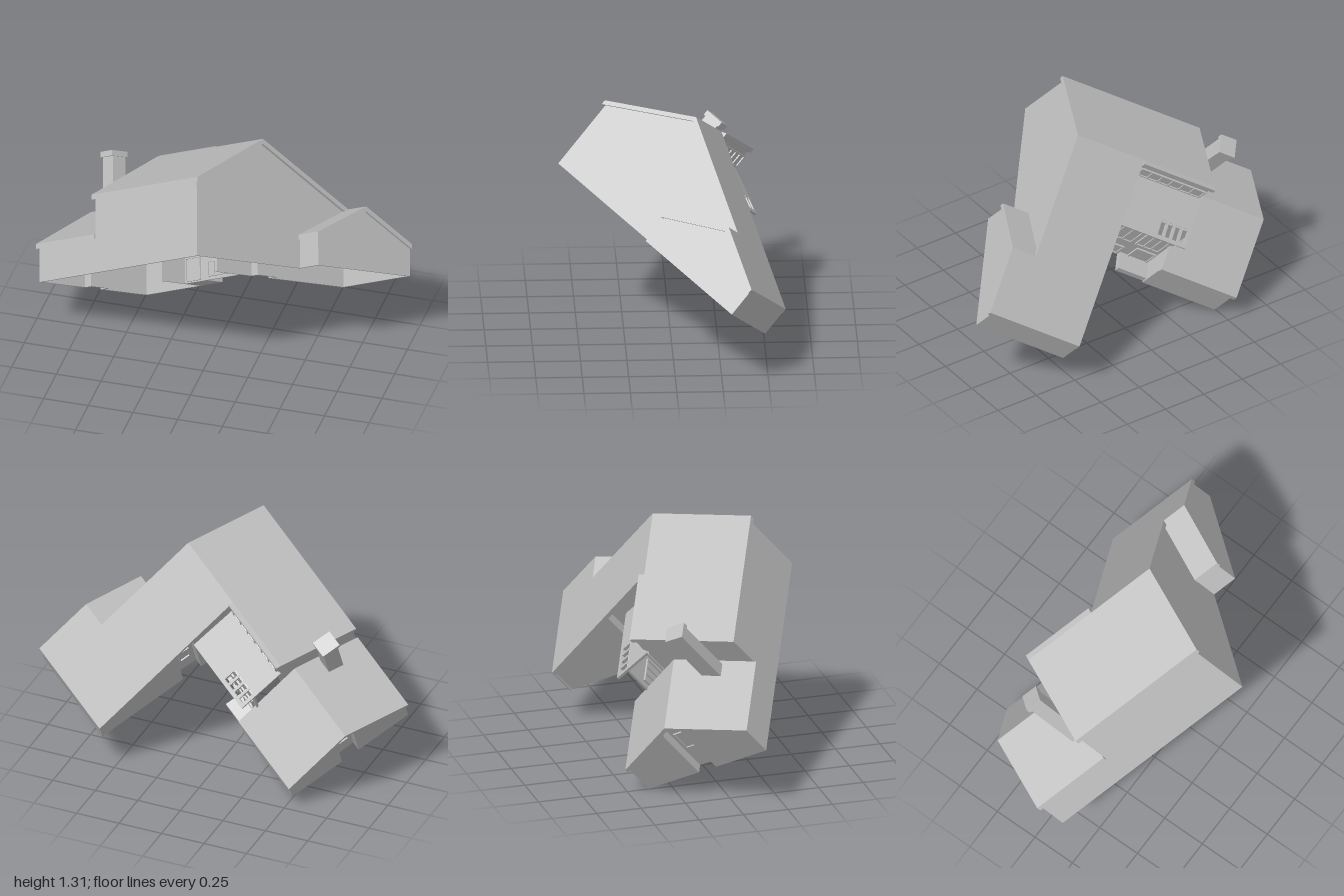
import * as THREE from 'three';

const T = 0.012;      // wall thickness
const G = 0.338;      // ground level in house space

export function createModel() {
  const model = new THREE.Group();
  model.name = 'tiltedHouse';
  const grey = new THREE.MeshStandardMaterial({ color: 0xbcbcbc });
  grey.name = 'plain grey';
  const house = new THREE.Group();
  house.name = 'house';
  model.add(house);

  const add = (name, geometry, parent = house) => {
    const mesh = new THREE.Mesh(geometry, grey);
    mesh.name = name;
    parent.add(mesh);
    return mesh;
  };
  const outline = pts => new THREE.Shape(pts.map(p => new THREE.Vector2(p[0], p[1])));
  // cross-section given as [z, y], extruded along x
  const prism = (name, pts, x0, x1) => {
    const g = new THREE.ExtrudeGeometry(outline(pts.map(([z, y]) => [-z, y])),
      { depth: x1 - x0, bevelEnabled: false });
    g.rotateY(Math.PI / 2);
    g.translate(x0, 0, 0);
    return add(name, g);
  };
  // outline given as [x, y], extruded along z
  const panel = (name, pts, z) => {
    const g = new THREE.ExtrudeGeometry(outline(pts), { depth: T, bevelEnabled: false });
    g.translate(0, 0, z);
    return add(name, g);
  };
  const box = (name, x0, x1, y0, y1, z0, z1, parent = house) => {
    const g = new THREE.BoxGeometry(x1 - x0, y1 - y0, z1 - z0);
    g.translate((x0 + x1) / 2, (y0 + y1) / 2, (z0 + z1) / 2);
    return add(name, g, parent);
  };
  // sloping roof slab between two [z, y] points on its upper face
  const slab = (name, a, b, x0, x1, t = 0.027) =>
    prism(name, [a, b, [b[0], b[1] - t], [a[0], a[1] - t]], x0, x1);
  // framed window with upright bars, showing on both sides of a wall
  const makeWindow = (name, w, h, panes) => {
    const g = new THREE.Group();
    g.name = name;
    const d = 0.016, f = 0.007;
    box('glass', 0, w, 0, h, -0.009, 0.009, g);
    for (let i = 0; i <= panes; i++) {
      const x = (w - f) * i / panes;
      box('upright', x, x + f, 0, h, -d, d, g);
    }
    for (const y of [0, h - f]) box('rail', 0, w, y, y + f, -d, d, g);
    house.add(g);
    return g;
  };

  // main roof
  const ridge = [0.338, 1.013], wingRidge = [-0.272, 0.686];
  slab('mainFrontRoof', [0.81, 0.762], ridge, -0.084, 0.78);
  slab('mainBackRoof', ridge, wingRidge, 0.362, 0.78);
  slab('ridgeOverhang', ridge, [0.308, 1.024], -0.084, 0.362);

  // right wing roof, running on from the main back slope
  slab('rightWingBackRoof', wingRidge, [-0.6, 0.511], 0.362, 0.925);
  slab('rightWingFrontRoof', [0.074, 0.517], wingRidge, 0.765, 0.925);

  // left wing roof
  slab('leftWingFrontRoof', [0.81, 0.545], [0.415, 0.756], -0.538, -0.065);
  slab('leftWingBackRoof', [0.415, 0.756], [0.02, 0.545], -0.538, -0.065);

  // long front wall, stepping up at the main block
  panel('frontWall', [[-0.523, G], [0.76, G], [0.76, 0.745], [-0.065, 0.745],
    [-0.065, 0.53], [-0.523, 0.53]], 0.797 - T);

  // main gables
  prism('mainRightGable', [[0.797, G], [0.797, 0.745], [0.338, 0.99], [-0.272, 0.665],
    [0.06, 0.5], [0.06, G]], 0.76 - T, 0.76);
  prism('mainLeftGable', [[0.797, 0.52], [0.797, 0.745], [0.338, 0.99], [0.32, 0.99],
    [0.32, 0.68], [0.415, 0.73]], -0.065, -0.065 + T);

  // right wing walls
  box('rightWingFrontWall', 0.76 - T, 0.91, G, 0.505, 0.06 - T, 0.06);
  box('rightWingBackWall', 0.362, 0.91, G, 0.495, -0.597, -0.597 + T);
  prism('rightWingGable', [[0.06, G], [0.06, 0.5], [-0.272, 0.665], [-0.597, 0.49],
    [-0.597, G]], 0.91 - T, 0.91);
  prism('rightWingInnerWall', [[-0.06, G], [-0.06, 0.775], [-0.597, 0.49], [-0.597, G]],
    0.368, 0.368 + T);
  prism('rightWingUpperWall', [[0.32, G], [0.32, 0.98], [0.06, 0.84], [0.06, G]],
    0.368, 0.368 + T);

  // left wing walls
  box('leftWingBackWall', -0.523, -0.08, G, 0.53, 0.03, 0.03 + T);
  prism('leftWingGableFront', [[0.797, G], [0.797, 0.525], [0.47, 0.7], [0.47, G]],
    -0.523, -0.523 + T);
  prism('leftWingGableBack', [[0.36, G], [0.36, 0.7], [0.03, 0.525], [0.03, G]],
    -0.523, -0.523 + T);
  prism('leftWingInnerWall', [[0.32, G], [0.32, 0.68], [0.03, 0.525], [0.03, G]],
    -0.08, -0.08 + T);

  // alcoves set into the side walls, each with a window
  for (const [x, z0, z1, h] of [[-0.523, 0.36, 0.47, 0.7], [0.368, -0.06, 0.06, 0.78]]) {
    const back = x + 0.05;
    box('alcoveBack', back, back + T, G, h, z0, z1);
    for (const z of [z0 - T, z1]) box('alcoveCheek', x, back + T, G, h, z, z + T);
    const w = makeWindow('alcoveWindow', 0.07, 0.13, 1);
    w.rotation.y = Math.PI / 2;
    w.position.set(back + T / 2, 0.5, (z0 + z1) / 2 + 0.035);
  }

  // recessed back wall: upper storey, then lower storey further out
  box('upperBackWall', -0.065, 0.368, 0.86, 0.995, 0.32, 0.32 + T);
  box('lowerBackWall', -0.08, 0.368, G, 0.805, 0.14, 0.14 + T);
  for (const [name, x, y, z, w, h, n] of [
    ['clerestoryWindow', -0.06, 0.89, 0.326, 0.4, 0.075, 6],
    ['wideWindow', 0.12, 0.51, 0.146, 0.23, 0.15, 4],
    ['narrowWindow', -0.05, 0.51, 0.146, 0.145, 0.15, 3],
    ['lowWindow', 0.12, 0.355, 0.146, 0.21, 0.085, 4],
    ['door', -0.06, 0.345, 0.146, 0.12, 0.13, 1],
  ]) makeWindow(name, w, h, n).position.set(x, y, z);

  // lean-to roof with four open slots
  const lean = outline([[-0.08, 0], [0.366, 0], [0.366, 0.293], [-0.08, 0.293]]);
  for (let i = 0; i < 4; i++) {
    const x = -0.06 + i * 0.045;
    lean.holes.push(new THREE.Path([[x, 0.19], [x, 0.27], [x + 0.03, 0.27], [x + 0.03, 0.19]]
      .map(p => new THREE.Vector2(...p))));
  }
  const leanTo = add('leanToRoof',
    new THREE.ExtrudeGeometry(lean, { depth: 0.015, bevelEnabled: false }));
  leanTo.rotation.x = -1.974;
  leanTo.position.set(0, 0.87, 0.33);

  // door step and chimney
  box('doorStep', -0.08, 0.106, G, G + 0.035, 0.04, 0.14);
  box('chimneyStack', -0.17, -0.09, 0.62, 1.0, 0.56, 0.65);
  box('chimneyCap', -0.18, -0.084, 0.99, 1.02, 0.55, 0.66);

  // lean the whole house over
  house.applyMatrix4(new THREE.Matrix4().makeBasis(
    new THREE.Vector3(0.788, 0.499, 0.358),
    new THREE.Vector3(-0.186, 0.749, -0.635),
    new THREE.Vector3(-0.586, 0.436, 0.683)));
  // stand on the ground, centred
  model.updateMatrixWorld(true);
  const b = new THREE.Box3().setFromObject(model, true);
  const c = b.getCenter(new THREE.Vector3());
  house.position.x -= c.x;
  house.position.y -= b.min.y;
  house.position.z -= c.z;
  return model;
}
